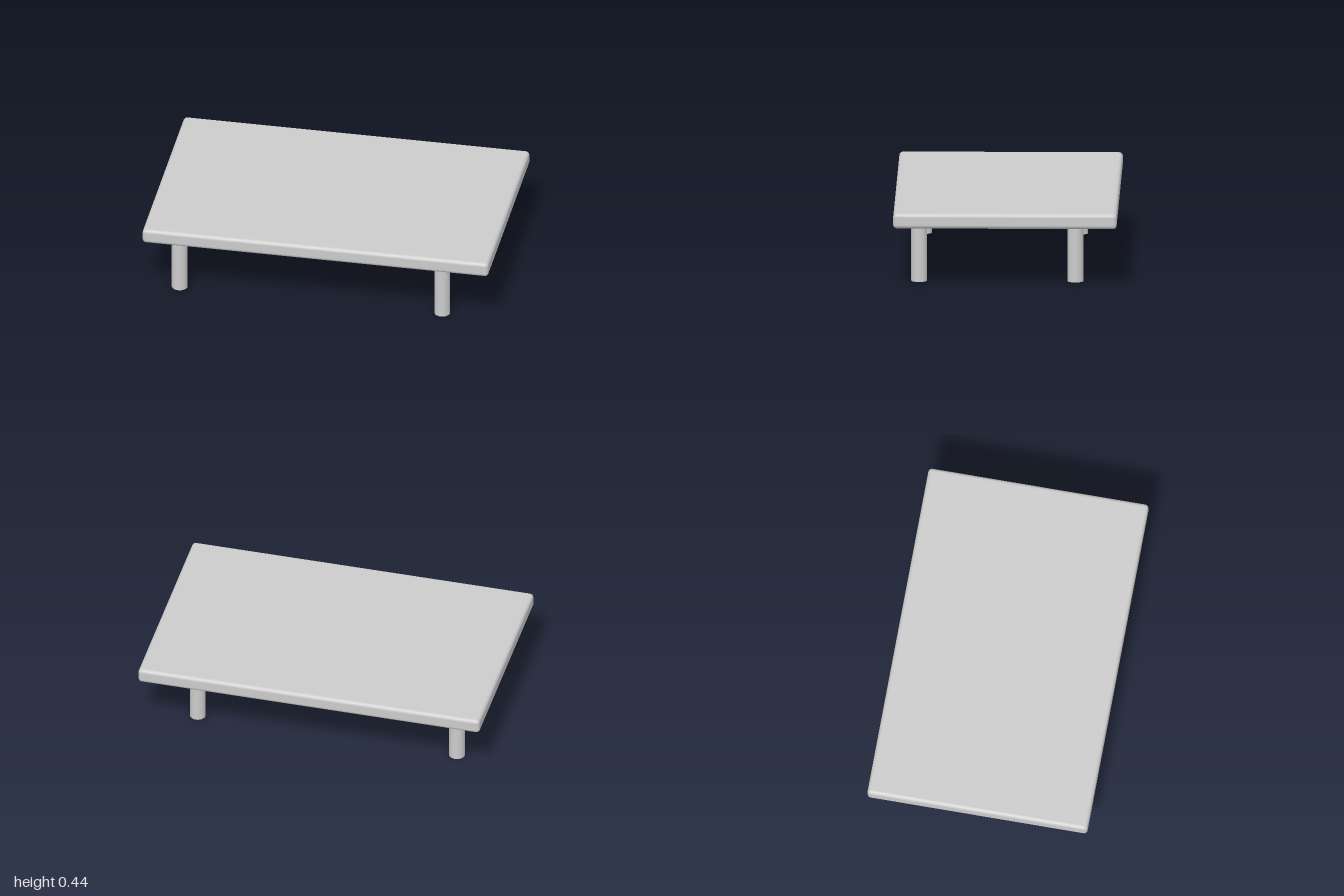
import * as THREE from 'three';
import { RoundedBoxGeometry } from 'three/addons/geometries/RoundedBoxGeometry.js';

export function createModel() {
  const group = new THREE.Group();
  const material = new THREE.MeshStandardMaterial({ color: 0xcccccc });

  // Slab with softly rounded edges
  const bottom = 0.35, top = 0.437;
  const tableTop = new THREE.Mesh(
    new RoundedBoxGeometry(2, top - bottom, 1.27, 5, 0.022), material);
  tableTop.name = 'tableTop';
  tableTop.position.y = (bottom + top) / 2;
  group.add(tableTop);

  // Four round legs, set slightly off centre and sunk a little into the slab
  const legHeight = bottom + 0.01;
  const legGeometry = new THREE.CylinderGeometry(0.045, 0.045, legHeight, 32);
  for (const [xName, x] of [['Right', -0.81], ['Left', 0.709]]) {
    for (const [zName, z] of [['front', 0.492], ['back', -0.396]]) {
      const leg = new THREE.Mesh(legGeometry, material);
      leg.name = `${zName}${xName}Leg`;
      leg.position.set(x, legHeight / 2, z);
      group.add(leg);
    }
  }
  return group;
}
